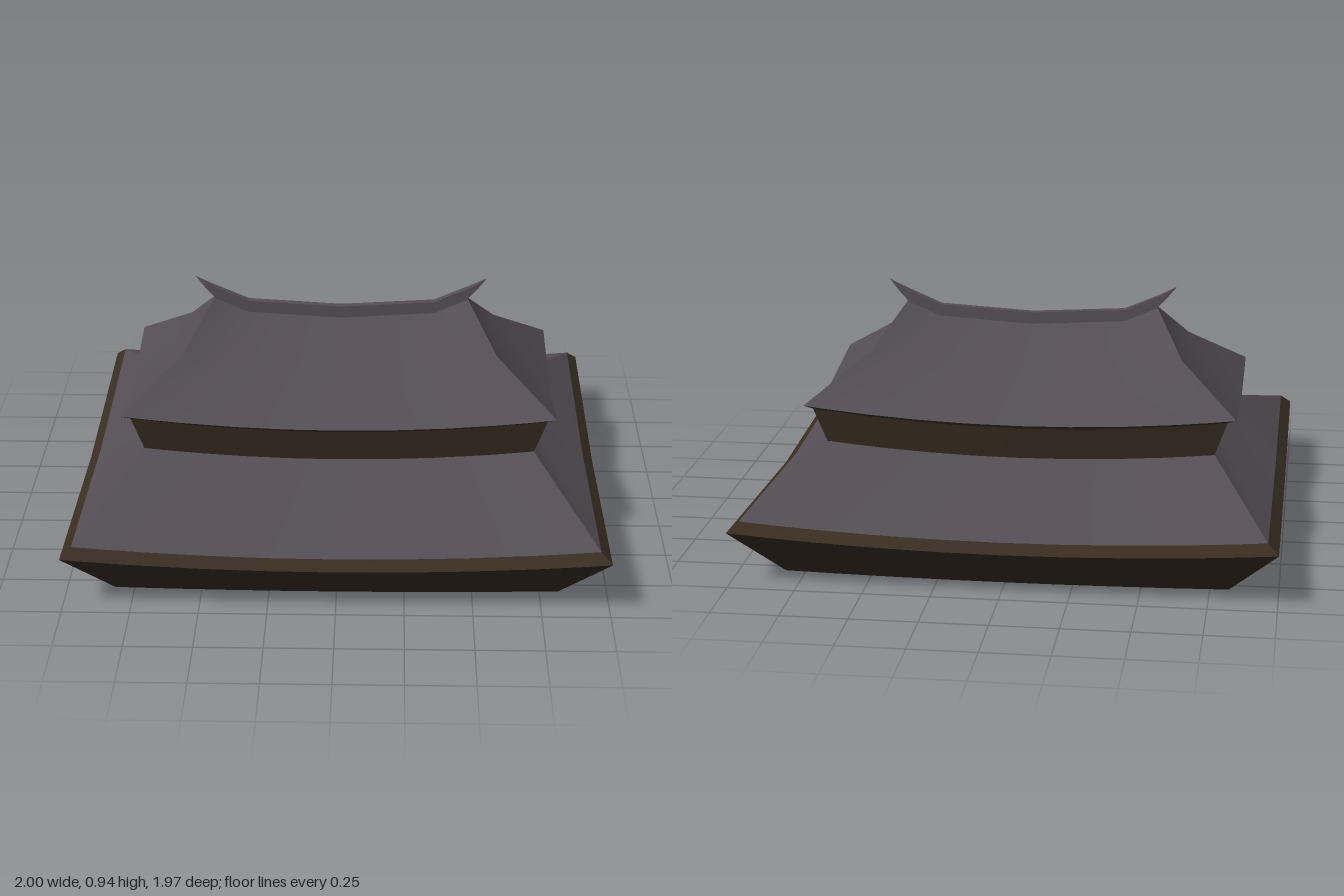
import * as THREE from 'three';

const STEPS = {
  long: [-1, -0.87, -0.72, -0.48, -0.24, 0, 0.24, 0.48, 0.72, 0.87, 1],
  short: [-1, 0, 1],
};

// Point on one side of a rectangular ring whose middle sags below its corners.
// ring = [half width, half depth, corner height, middle of front, middle of end, curve power]
function ringPoint([hx, hz, corner, midFront, midEnd, power = 2], side, u) {
  const isEnd = side % 2 === 1;
  const y = isEnd
    ? midEnd + (corner - midEnd) * Math.abs(u)
    : midFront + (corner - midFront) * Math.abs(u) ** power;
  const s = side < 2 ? 1 : -1;
  return isEnd ? [s * hx, y, -s * hz * u] : [s * hx * u, y, s * hz];
}

// Joins successive rings; each of the four sides is smooth, the corners stay crisp.
function loftRings(rings) {
  const positions = [], index = [];
  for (let side = 0; side < 4; side++) {
    const steps = side % 2 ? STEPS.short : STEPS.long;
    const n = steps.length;
    const base = positions.length / 3;
    for (const ring of rings) {
      for (const u of steps) positions.push(...ringPoint(ring, side, u));
    }
    for (let r = 0; r < rings.length - 1; r++) {
      for (let i = 0; i < n - 1; i++) {
        const a = base + r * n + i;
        index.push(a, a + 1, a + n + 1, a, a + n + 1, a + n);
      }
    }
  }
  return toGeometry(positions, index);
}

function toGeometry(positions, index) {
  const geometry = new THREE.BufferGeometry();
  geometry.setAttribute('position', new THREE.Float32BufferAttribute(positions, 3));
  geometry.setIndex(index);
  geometry.computeVertexNormals();
  return geometry;
}

// Thin ridge with upswept pointed ends; stations are [x, bottom, top, half depth].
function ridgeGeometry() {
  const half = [[0, 0.775, 0.82, 0.018], [0.36, 0.797, 0.841, 0.018],
    [0.485, 0.85, 0.895, 0.017], [0.525, 0.892, 0.914, 0.013], [0.562, 0.935, 0.936, 0.001]];
  const stations = [...half.slice(1).reverse().map(([x, ...rest]) => [-x, ...rest]), ...half];
  const positions = [], index = [];
  for (const [x, bottom, top, d] of stations) {
    positions.push(x, bottom, d, x, bottom, -d, x, top, -d * 0.85, x, top, d * 0.85);
  }
  for (let i = 0; i < stations.length - 1; i++) {
    for (let k = 0; k < 4; k++) {
      const a = i * 4 + k, b = i * 4 + (k + 1) % 4;
      index.push(a, b, b + 4, a, b + 4, a + 4);
    }
  }
  const geometry = toGeometry(positions, index).toNonIndexed();
  geometry.computeVertexNormals();
  return geometry;
}

export function createModel() {
  const group = new THREE.Group();
  const material = (name, color) => {
    const m = new THREE.MeshStandardMaterial({ color, side: THREE.DoubleSide });
    m.name = name;
    return m;
  };
  const tile = material('slate tile', 0x544e54);
  const wood = material('brown wood', 0x3a2e22);
  const darkWood = material('dark wood', 0x34291f);

  const add = (name, geometry, mat) => {
    const mesh = new THREE.Mesh(geometry, mat);
    mesh.name = name;
    group.add(mesh);
  };

  // Rings shared by neighbouring parts
  const bottomEdge = [0.82, 0.82, 0.01, 0, 0];
  const lowerFascia = [1, 0.985, 0.205, 0.165, 0.165];
  const lowerEave = [0.96, 0.95, 0.24, 0.2, 0.2];
  const wallFoot = [0.74, 0.41, 0.39, 0.35, 0.34];
  const wallTop = [0.787, 0.437, 0.525, 0.475, 0.465];
  const upperEave = [0.82, 0.457, 0.54, 0.49, 0.48];

  // Lower tier: hollow hipped ceiling, flared underside, bevelled rim and tiles
  add('ceiling', loftRings([[0.54, 0, 0.27, 0.27, 0.27], bottomEdge]), darkWood);
  add('lowerUnderside', loftRings([bottomEdge, lowerFascia]), darkWood);
  add('lowerRim', loftRings([lowerFascia, lowerEave]), wood);
  add('lowerRoof', loftRings([lowerEave, wallFoot]), tile);

  // Upper tier: flared wall, narrow soffit and hipped roof
  add('upperWall', loftRings([wallFoot, wallTop]), wood);
  add('upperSoffit', loftRings([wallTop, upperEave]), wood);
  add('upperRoof', loftRings([upperEave,
    [0.6, 0.22, 0.7, 0.635, 0.67, 3], [0.485, 0, 0.86, 0.78, 0.86, 4]]), tile);
  add('ridge', ridgeGeometry(), tile);

  return group;
}
